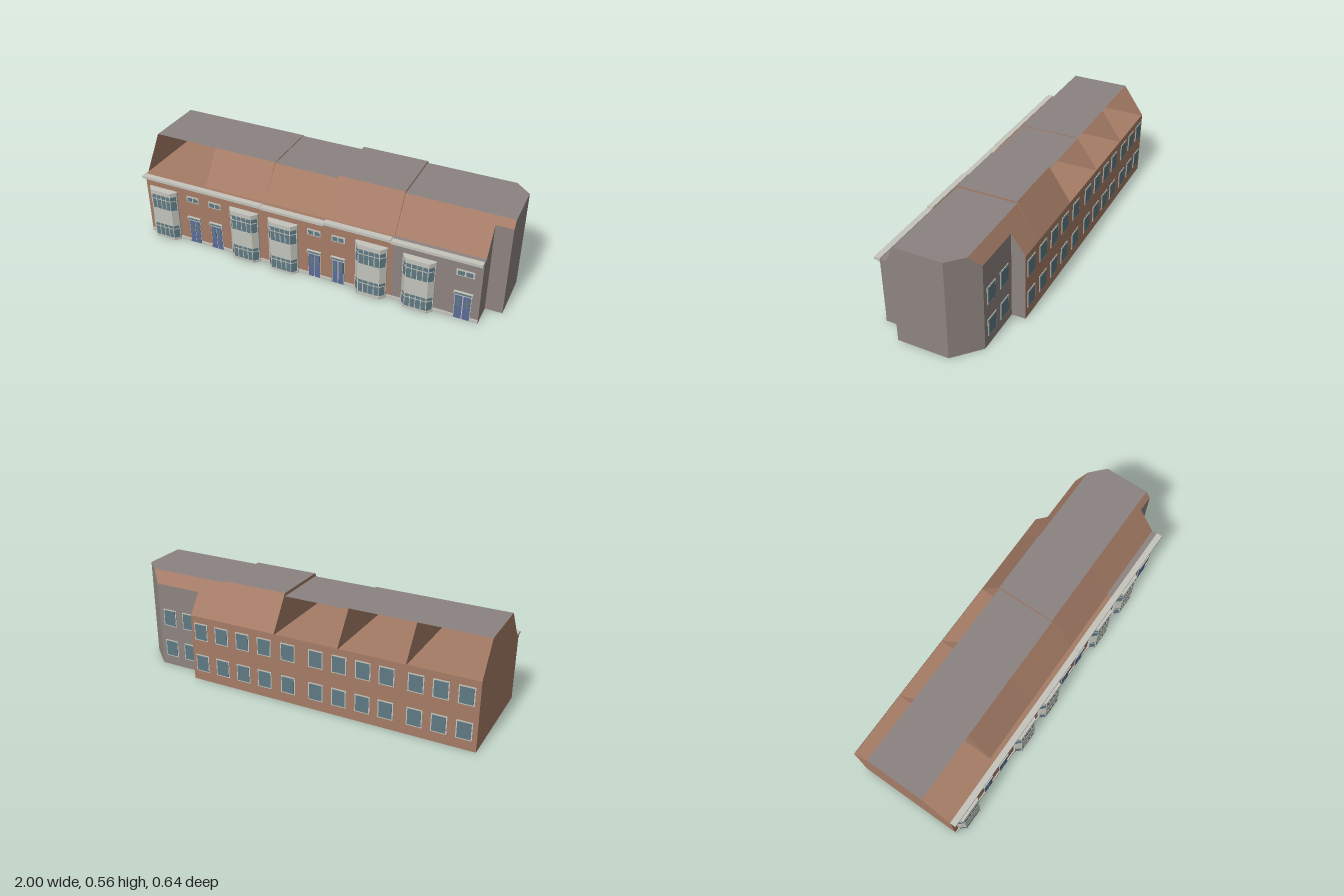
import * as THREE from 'three';

export function createModel() {
  const model = new THREE.Group();
  model.name = 'terraceBuilding';
  const mat = (name, color) => {
    const m = new THREE.MeshStandardMaterial({ color, side: THREE.DoubleSide });
    m.name = name;
    return m;
  };
  const brick = mat('brick', 0xa67c66), grey = mat('greyRender', 0x8e8480), felt = mat('roofFelt', 0x8a8380);
  const trim = mat('paleTrim', 0xc4c4bc), glass = mat('glass', 0x5f7a84), blue = mat('blueDoor', 0x5c6c98);

  const add = (name, geo, m, parent = model) => {
    const mesh = new THREE.Mesh(geo, m);
    mesh.name = name;
    parent.add(mesh);
    return mesh;
  };
  // Flat panel from corner points, fanned from the first corner
  const panel = (name, m, ...pts) => {
    const tris = [];
    for (let i = 1; i < pts.length - 1; i++) tris.push(...pts[0], ...pts[i], ...pts[i + 1]);
    const g = new THREE.BufferGeometry();
    g.setAttribute('position', new THREE.Float32BufferAttribute(tris, 3));
    g.computeVertexNormals();
    return add(name, g, m);
  };
  // Box given by its limits
  const box = (name, m, x0, x1, y0, y1, z0, z1, parent = model) => {
    const g = new THREE.BoxGeometry(x1 - x0, y1 - y0, z1 - z0);
    g.translate((x0 + x1) / 2, (y0 + y1) / 2, (z0 + z1) / 2);
    return add(name, g, m, parent);
  };
  const group = (name) => {
    const g = new THREE.Group();
    g.name = name;
    model.add(g);
    return g;
  };

  const F = 0.28, B = -0.315, EAVE = 0.37, BEAVE = 0.375, ZF = 0.255, ZT = 0.13, ZB = -0.195;

  // Cross wall with the roof profile
  const crossWall = (x, top) => panel('crossWall', brick,
    [x, EAVE, ZF], [x, top, ZT], [x, top, ZB], [x, BEAVE, B], [x, 0, B], [x, 0, F], [x, EAVE, F]);

  // Four brick houses; the first three have an open attic at the back
  const houses = [
    { x0: -1, x1: -0.63, top: 0.543 },
    { x0: -0.63, x1: -0.27, top: 0.543, front: true },
    { x0: -0.27, x1: 0.09, top: 0.538, front: true },
    { x0: 0.09, x1: 0.45, top: 0.555, front: true, back: true },
  ];
  for (const { x0, x1, top, front, back } of houses) {
    panel('frontWall', brick, [x0, 0, F], [x1, 0, F], [x1, EAVE, F], [x0, EAVE, F]);
    panel('backWall', brick, [x1, 0, B], [x0, 0, B], [x0, BEAVE, B], [x1, BEAVE, B]);
    panel('base', brick, [x0, 0, B], [x1, 0, B], [x1, 0, F], [x0, 0, F]);
    panel('atticFloor', brick, [x0, EAVE, F], [x1, EAVE, F], [x1, EAVE, B], [x0, EAVE, B]);
    panel('flatRoof', felt, [x0, top, ZT], [x1, top, ZT], [x1, top, ZB], [x0, top, ZB]);
    if (front) panel('frontRoofSlope', brick, [x0, EAVE, ZF], [x1, EAVE, ZF], [x1, top, ZT], [x0, top, ZT]);
    if (back) panel('backRoofSlope', brick, [x1, BEAVE, B], [x0, BEAVE, B], [x0, top, ZB], [x1, top, ZB]);
  }
  crossWall(-1, 0.543);
  crossWall(-0.63, 0.543);
  crossWall(-0.27, 0.543);
  crossWall(0.09, 0.555);
  crossWall(0.45, 0.555);

  // Grey end house: walls follow the footprint and rise to the roof profile
  const T = 0.545, ZT5 = 0.128, ZF5 = 0.25;
  const roofAt = (z) => Math.min(T,
    Math.max(EAVE, T - (T - EAVE) * (z - ZT5) / (ZF5 - ZT5)),
    BEAVE + (T - BEAVE) * (z - B) / (ZB - B));
  const plan = [[0.45, F], [0.91, F], [0.91, ZF5], [0.91, 0.155], [1, 0.155], [1, ZT5], [1, -0.12],
    [0.919, ZB], [0.87, -0.24], [0.6, -0.24], [0.6, B], [0.45, B]];
  for (let i = 0; i < plan.length - 1; i++) {
    const [ax, az] = plan[i], [bx, bz] = plan[i + 1];
    panel('endHouseWall', i === plan.length - 2 ? brick : grey,
      [ax, 0, az], [bx, 0, bz], [bx, roofAt(bz), bz], [ax, roofAt(az), az]);
  }
  const base = new THREE.ShapeGeometry(new THREE.Shape(plan.map(([x, z]) => new THREE.Vector2(x, z))));
  add('endHouseBase', base.rotateX(Math.PI / 2), grey);
  panel('endFlatRoof', felt, [0.45, T, ZT5], [1, T, ZT5], [1, T, -0.12], [0.919, T, ZB], [0.45, T, ZB]);
  const yS = roofAt(0.155), yB = roofAt(-0.24);
  panel('endFrontSlope', brick, [0.45, yS, 0.155], [1, yS, 0.155], [1, T, ZT5], [0.45, T, ZT5]);
  panel('endFrontSlope', brick, [0.45, EAVE, ZF5], [0.91, EAVE, ZF5], [0.91, yS, 0.155], [0.45, yS, 0.155]);
  panel('endEaveLedge', grey, [0.45, EAVE, F], [0.91, EAVE, F], [0.91, EAVE, ZF5], [0.45, EAVE, ZF5]);
  panel('endBackSlope', brick, [0.45, BEAVE, B], [0.45, T, ZB], [0.6, T, ZB], [0.6, BEAVE, B]);
  panel('endBackSlope', brick, [0.6, yB, -0.24], [0.6, T, ZB], [0.919, T, ZB], [0.87, yB, -0.24]);

  // Cornice and gutter along the front
  for (const [x0, x1, dy] of [[-1, -0.27, 0], [-0.27, 0.09, -0.003], [0.09, 0.45, 0.006], [0.45, 0.91, 0]]) {
    box('gutter', trim, x0, x1, 0.36 + dy, 0.375 + dy, F, 0.312);
    box('corniceMoulding', trim, x0, x1, 0.353 + dy, 0.36 + dy, F, 0.292);
  }

  // Doors, canopies and small windows above
  const doors = [[-0.705, 0.07], [-0.567, 0.07], [0.024, 0.07], [0.16, 0.07], [0.826, 0.086]];
  let start = -1;
  for (const [x, w] of doors) {
    const d = group('entrance'), h = w / 2;
    box('doorFrame', trim, x - h, x + h, 0, 0.15, F, 0.283, d);
    for (const s of [-1, 1]) {
      const c = x + s * w * 0.245, q = w * 0.215;
      box('doorLeaf', blue, c - q, c + q, 0.002, 0.142, F, 0.285, d);
      box('doorPane', glass, c - q * 0.5, c + q * 0.5, 0.075, 0.13, F, 0.286, d);
      box('upperPane', glass, c - q * 0.9, c + q * 0.9, 0.268, 0.291, F, 0.286, d);
    }
    box('doorCanopy', trim, x - h - 0.005, x + h + 0.005, 0.152, 0.168, F, 0.291, d);
    box('canopyFront', glass, x - h, x + h, 0.155, 0.164, F, 0.292, d);
    box('upperWindowFrame', trim, x - h - 0.003, x + h + 0.003, 0.262, 0.298, F, 0.284, d);
    box('plinth', trim, start, x - h, 0, 0.02, F, 0.286);
    start = x + h;
  }
  box('plinth', trim, start, 0.91, 0, 0.02, F, 0.286);

  // Two-storey bay windows with canted sides
  const prism = (name, m, grow, y0, y1, parent) => {
    const a = 0.083 + grow, b = 0.058 + grow, z = 0.316 + grow;
    const s = new THREE.Shape([[-a, -F], [-a, -0.29], [-b, -z], [b, -z], [a, -0.29], [a, -F]]
      .map(([x, y]) => new THREE.Vector2(x, y)));
    const g = new THREE.ExtrudeGeometry(s, { depth: y1 - y0, bevelEnabled: false });
    return add(name, g.rotateX(-Math.PI / 2).translate(0, y0, 0), m, parent);
  };
  for (const [x, dy] of [[-0.888, 0], [-0.385, 0], [-0.155, -0.003], [0.342, 0.005], [0.595, 0]]) {
    const bay = group('bayWindow');
    bay.position.x = x;
    prism('baySill', trim, 0.002, 0, 0.014 + dy, bay);
    prism('bayPanel', trim, 0.002, 0.093 + dy, 0.192 + dy, bay);
    prism('bayRoof', trim, 0.003, 0.28 + dy, 0.305 + dy, bay);
    for (const [y0, y1, bar] of [[0.014, 0.093, 0.07], [0.192, 0.28, 0.25]]) {
      prism('bayGlass', glass, 0, y0 + dy, y1 + dy, bay);
      prism('bayTransom', trim, 0.0015, bar + dy, bar + 0.004 + dy, bay);
      for (const mx of [-0.057, -0.029, 0, 0.029, 0.057])
        box('bayMullion', trim, mx - 0.002, mx + 0.002, y0 + dy, y1 + dy, 0.312, 0.318, bay);
      for (const s of [-1, 1])
        box('bayWallPost', trim, s * 0.082 - 0.003, s * 0.082 + 0.003, y0 + dy, y1 + dy, F, 0.292, bay);
    }
  }

  // Back windows in two rows
  const backWindows = [-0.935, -0.81, -0.685, -0.535, -0.41, -0.28, -0.15, 0.01, 0.15, 0.28, 0.41, 0.54]
    .map((x) => [x, B]).concat([[0.675, -0.24], [0.8, -0.24]]);
  for (const [x, z] of backWindows) {
    for (const y of [0.055, 0.24]) {
      const w = group('backWindow');
      box('windowFrame', trim, x - 0.041, x + 0.041, y, y + 0.098, z - 0.003, z, w);
      box('windowGlass', glass, x - 0.035, x + 0.035, y + 0.006, y + 0.092, z - 0.005, z, w);
    }
  }
  return model;
}
